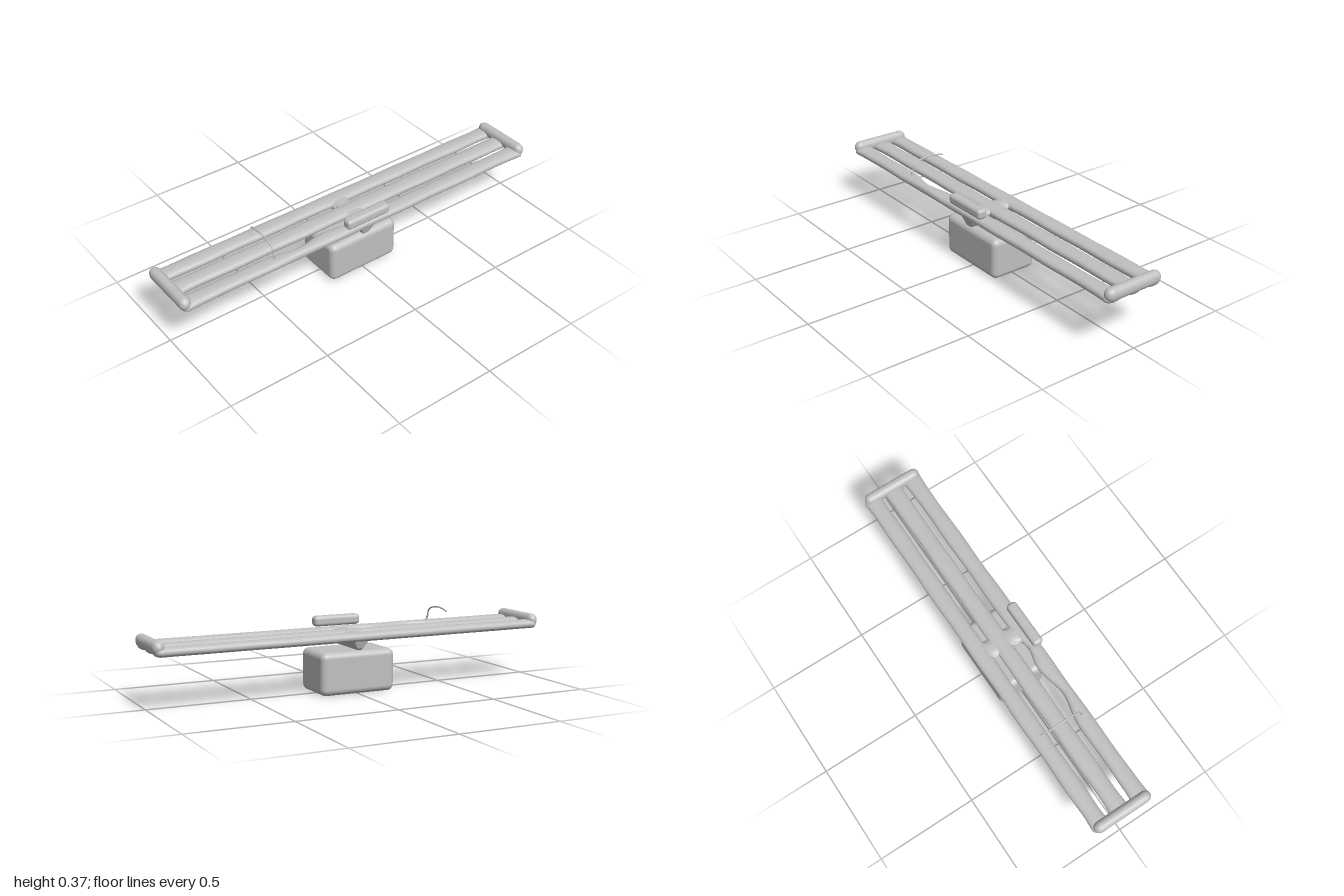
import * as THREE from 'three';
import { RoundedBoxGeometry } from 'three/addons/geometries/RoundedBoxGeometry.js';

// Closed bar along x: section(x) gives centre and half sizes, ends are domed over `cap`
function barGeometry(x0, x1, cap, power, section, steps = 60, sides = 28) {
  const pos = [], index = [];
  const soft = v => Math.sign(v) * Math.pow(Math.abs(v), power);
  for (let i = 0; i <= steps; i++) {
    const t = (1 - Math.cos(Math.PI * i / steps)) / 2;
    const x = x0 + (x1 - x0) * t;
    const d = Math.min(1, Math.min(x - x0, x1 - x) / cap);
    const dome = Math.max(0.002, Math.sqrt(1 - (1 - d) ** 2));
    const { z, y, rz, ry } = section(x);
    for (let j = 0; j < sides; j++) {
      const a = j / sides * Math.PI * 2;
      pos.push(x, y + ry * dome * soft(Math.sin(a)), z + rz * dome * soft(Math.cos(a)));
    }
  }
  for (let i = 0; i < steps; i++) for (let j = 0; j < sides; j++) {
    const a = i * sides + j, b = i * sides + (j + 1) % sides;
    index.push(a, a + sides, b, b, a + sides, b + sides);
  }
  const g = new THREE.BufferGeometry();
  g.setAttribute('position', new THREE.Float32BufferAttribute(pos, 3));
  g.setIndex(index);
  g.computeVertexNormals();
  return g;
}

const bump = (x, c, w) => Math.exp(-(((x - c) / w) ** 2));

export function createModel() {
  const model = new THREE.Group();
  const grey = new THREE.MeshStandardMaterial({ color: 0xc0c0c0 });
  grey.name = 'light grey';
  const add = (name, geometry, x = 0, y = 0, z = 0) => {
    const mesh = new THREE.Mesh(geometry, grey);
    mesh.name = name;
    mesh.position.set(x, y, z);
    model.add(mesh);
    return mesh;
  };

  // Base block
  add('baseBlock', new RoundedBoxGeometry(0.382, 0.204, 0.242, 6, 0.03), 0, 0.103, 0);

  // Three long soft slats, flaring a little at the ends; the front one has a dent
  const slats = [['backSlat', -0.113, 0.041], ['middleSlat', -0.003, 0.043], ['frontSlat', 0.108, 0.04]];
  for (const [name, z, rz] of slats) {
    add(name, barGeometry(-0.993, 0.993, 0.03, 0.85, x => {
      const dent = name === 'frontSlat' ? 0.014 * bump(x, -0.37, 0.1) + 0.011 * bump(x, -0.1, 0.06) : 0;
      const flare = 0.007 * Math.max(0, (Math.abs(x) - 0.9) / 0.1);
      const wave = 0.0015 * Math.sin(x * 17 + z * 40);
      return { z: z + dent, rz: rz - dent + flare + wave, y: 0.273, ry: 0.022 };
    }, 90));
  }

  // Raised rails across both ends
  for (const s of [-1, 1]) {
    const rail = add(s < 0 ? 'rightEndRail' : 'leftEndRail',
      barGeometry(-0.152, 0.152, 0.03, 0.9, () => ({ z: 0, rz: 0.027, y: 0.292, ry: 0.031 }), 36),
      s * 0.972);
    rail.rotation.y = Math.PI / 2;
  }

  // Crossbar joining the slats, narrow in the gaps
  const crossbar = add('crossbar', barGeometry(-0.145, 0.145, 0.03, 0.8,
    x => ({ z: 0, rz: 0.058 - 0.016 * bump(Math.abs(x), 0.058, 0.018), y: 0.271, ry: 0.02 }), 40));
  crossbar.rotation.y = Math.PI / 2;

  // Wedge under the crossbar, tapering down to the base
  const wedge = new RoundedBoxGeometry(0.1, 0.07, 0.29, 6, 0.012);
  const p = wedge.attributes.position;
  for (let i = 0; i < p.count; i++) {
    const k = Math.min(1, (p.getY(i) + 0.035) / 0.05);
    p.setX(i, p.getX(i) * (0.22 + 0.78 * k));
    p.setZ(i, p.getZ(i) * (0.87 + 0.13 * k));
  }
  wedge.computeVertexNormals();
  add('wedge', wedge, 0, 0.246, 0);

  // Rounded grip on the front edge
  add('grip', new RoundedBoxGeometry(0.242, 0.05, 0.052, 6, 0.017), 0, 0.322, 0.131);

  // Thin curved wire over the right side
  const path = new THREE.CatmullRomCurve3([
    [0.113, 0.285], [0.101, 0.322], [0.093, 0.345], [0.07, 0.36], [0.035, 0.368],
    [0, 0.371], [-0.04, 0.367], [-0.075, 0.359],
  ].map(([z, y]) => new THREE.Vector3(-0.5, y, z)));
  add('wire', new THREE.TubeGeometry(path, 40, 0.0038, 10, false));
  const tip = new THREE.SphereGeometry(0.0038, 10, 8);
  add('wireTip', tip, -0.5, 0.359, -0.075);
  add('wireFoot', new THREE.CylinderGeometry(0.004, 0.009, 0.03, 12), -0.5, 0.298, 0.109);

  // Small stud on the back slat
  add('stud', new THREE.SphereGeometry(0.008, 12, 8), -0.485, 0.292, -0.098);

  return model;
}
